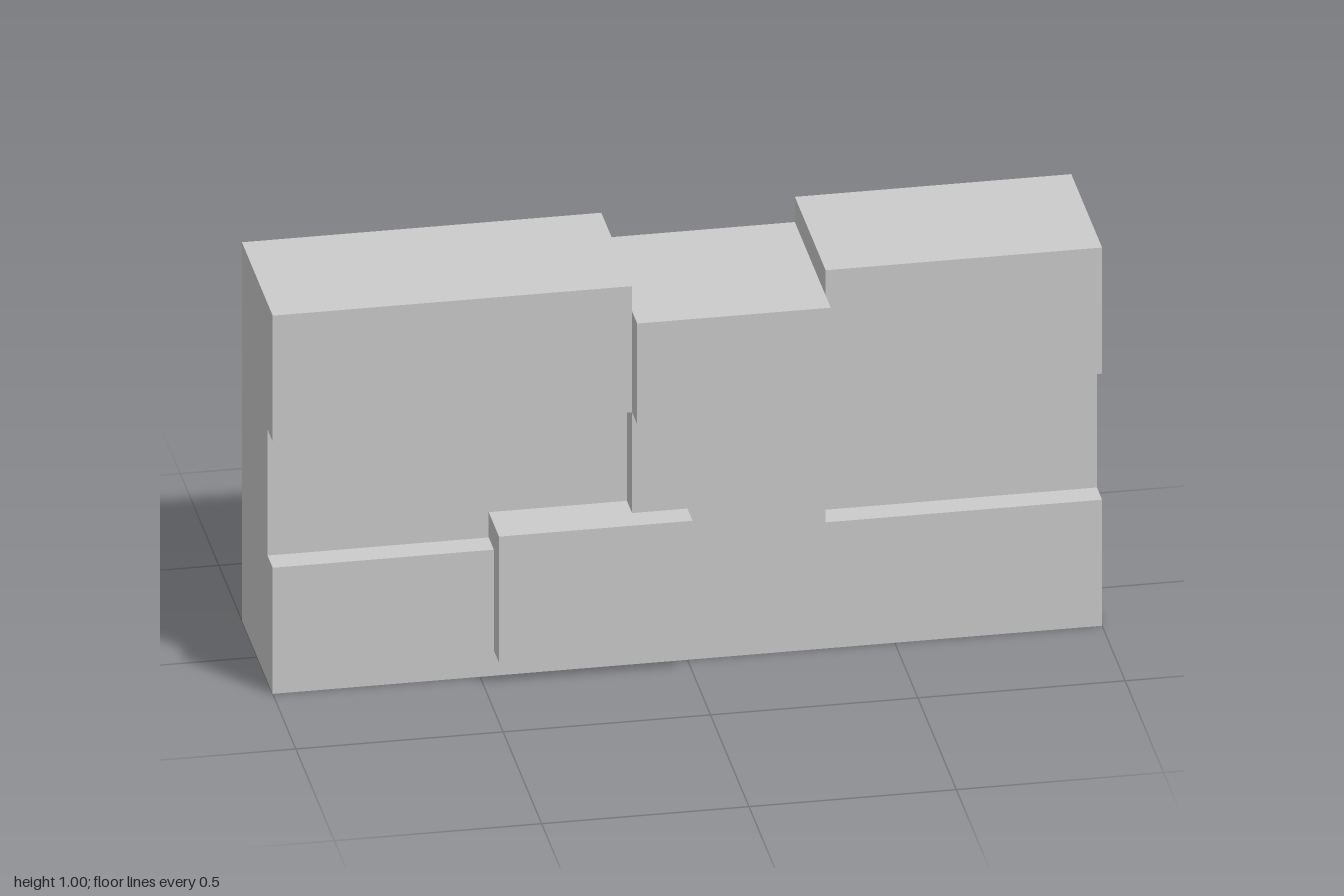
import * as THREE from 'three';

const material = new THREE.MeshStandardMaterial({ color: 0xcccccc, flatShading: true });

// Flat outline in x/y, extruded from z0 to z1
function slab(name, points, z0, z1) {
  const shape = new THREE.Shape(points.map(([x, y]) => new THREE.Vector2(x, y)));
  const geometry = new THREE.ExtrudeGeometry(shape, { depth: z1 - z0, bevelEnabled: false });
  geometry.translate(0, 0, z0);
  const mesh = new THREE.Mesh(geometry, material);
  mesh.name = name;
  return mesh;
}

// Box given by its limits on each axis
function block(name, [x0, x1], [y0, y1], [z0, z1]) {
  const mesh = new THREE.Mesh(new THREE.BoxGeometry(x1 - x0, y1 - y0, z1 - z0), material);
  mesh.position.set((x0 + x1) / 2, (y0 + y1) / 2, (z0 + z1) / 2);
  mesh.name = name;
  return mesh;
}

export function createModel() {
  const group = new THREE.Group();
  group.name = 'brickWall';

  const step = 1 / 15; // how far shifted bricks stand out or sink in
  const row1 = 1 / 3, row2 = 2 / 3; // joints between the three courses
  const xa = -2 / 15, xb = 1 / 3; // sides of the middle bricks
  const front = 0.2, back = -0.2;
  const notch = [[1, 1], [xb, 1], [xb, 1 - step], [xa, 1 - step], [xa, 1], [-1, 1]];

  // Wall core with the notch where the top brick has dropped
  group.add(slab('wallCore', [[-1, 0], [1, 0], ...notch], back, front - step));

  // Front layer, cut away over the two sunken bricks of the middle course
  group.add(slab('wallFace', [
    [-1, 0], [1, 0], [1, row1], [xb, row1], [xb, row2], [1, row2],
    ...notch,
    [-1, row2], [xa, row2], [xa, row1], [-1, row1],
  ], front - step, front));

  // Bricks standing out of the wall
  group.add(block('topBrick', [xa, xb], [row2, 1 - step], [front, front + step]));
  group.add(block('lowerBrick', [-7 / 15, 0], [step, 0.4], [front - step, front + step]));
  group.add(block('backBrick', [xa, xb], [row1, row2], [back - step, back]));

  return group;
}
